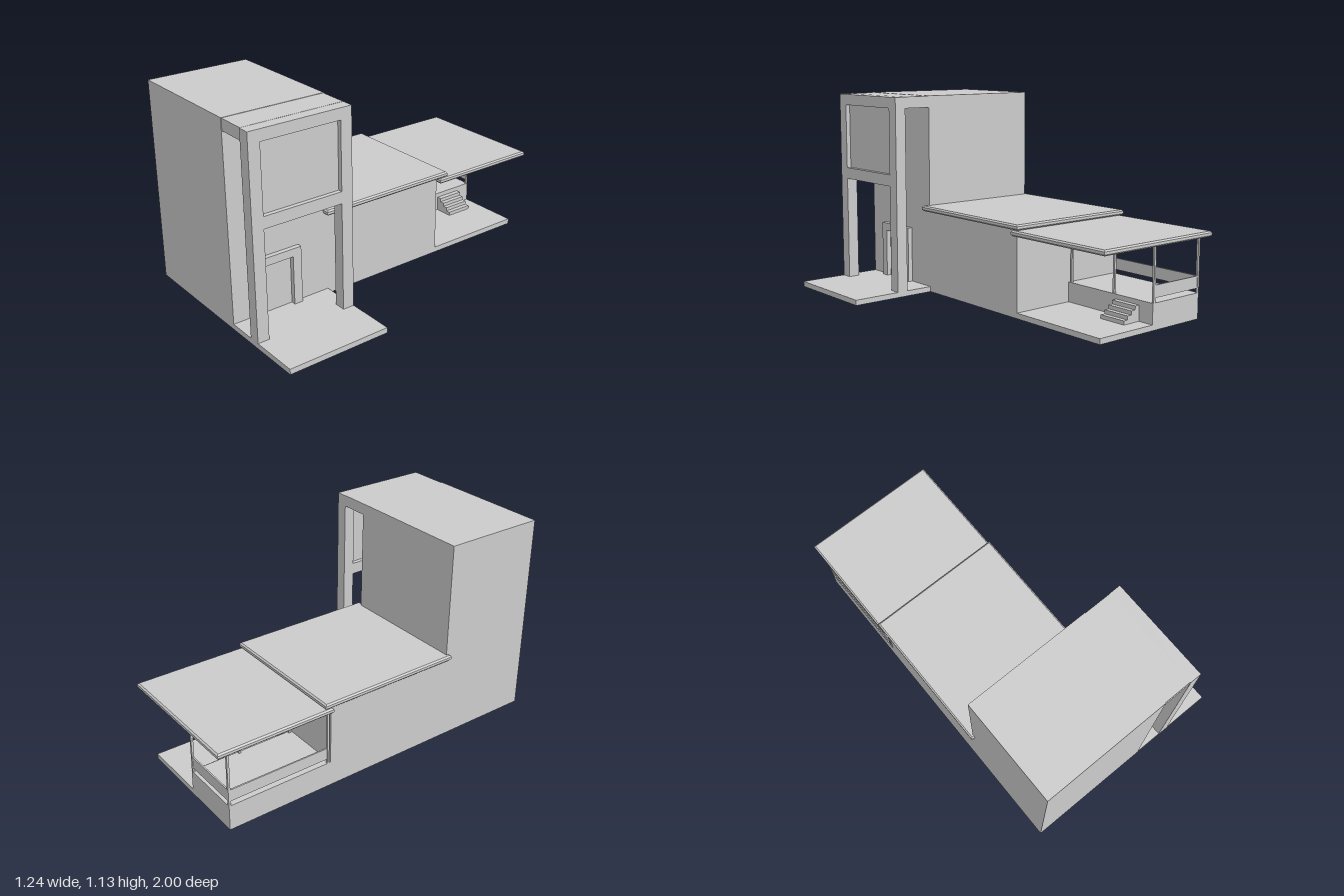
import * as THREE from 'three';

const material = new THREE.MeshStandardMaterial({ color: 0xcccccc, flatShading: true });

export function createModel() {
  const house = new THREE.Group();
  house.name = 'house';

  const add = (name, geometry) => {
    const mesh = new THREE.Mesh(geometry, material);
    mesh.name = name;
    house.add(mesh);
    return mesh;
  };

  // Box given by its limits on each axis
  const box = (name, x0, x1, y0, y1, z0, z1) =>
    add(name, new THREE.BoxGeometry(x1 - x0, y1 - y0, z1 - z0)
      .translate((x0 + x1) / 2, (y0 + y1) / 2, (z0 + z1) / 2));

  // Upright panel: outline in (z, y), thickness running from x0 to x1
  const panel = (name, outline, holes, x0, x1) => {
    const toPoints = (list) => list.map(([z, y]) => new THREE.Vector2(z, y));
    const shape = new THREE.Shape(toPoints(outline));
    holes.forEach((hole) => shape.holes.push(new THREE.Path(toPoints(hole))));
    const geometry = new THREE.ExtrudeGeometry(shape, { depth: x1 - x0, bevelEnabled: false });
    return add(name, geometry.rotateY(-Math.PI / 2).translate(x1, 0, 0));
  };

  // Doorway outline: two legs and a lintel, open at the foot
  const portal = (z0, z1, y0, y1, inZ0, inZ1, inTop) => [
    [z0, y0], [inZ0, y0], [inZ0, inTop], [inZ1, inTop],
    [inZ1, y0], [z1, y0], [z1, y1], [z0, y1],
  ];

  // Flat roof with chamfered edges
  const roof = (name, x0, x1, y0, y1, z0, z1) => {
    const b = 0.008;
    const shape = new THREE.Shape([
      new THREE.Vector2(x0 + b, -z1 + b), new THREE.Vector2(x1 - b, -z1 + b),
      new THREE.Vector2(x1 - b, -z0 - b), new THREE.Vector2(x0 + b, -z0 - b),
    ]);
    const geometry = new THREE.ExtrudeGeometry(shape, {
      depth: y1 - y0 - 2 * b, bevelEnabled: true, bevelSegments: 1, bevelSize: b, bevelThickness: b,
    });
    return add(name, geometry.rotateX(-Math.PI / 2).translate(0, y0 + b, 0));
  };

  // Main volumes
  box('tower', -0.6, 0.12, 0.01, 1.135, 0.42, 1);
  box('wing', -0.6, 0.12, 0.01, 0.485, -0.34, 0.42);
  roof('wingRoof', -0.62, 0.16, 0.483, 0.513, -0.385, 0.44);

  // Entrance terrace, canopy and open frame with a glazed upper bay
  box('terrace', 0.12, 0.62, 0.01, 0.04, 0.42, 1);
  box('canopy', 0.12, 0.28, 1.07, 1.133, 0.422, 0.997);
  panel('entranceFrame',
    portal(0.42, 1, 0.04, 1.132, 0.485, 0.935, 0.635),
    [[[0.485, 0.7], [0.485, 1.07], [0.935, 1.07], [0.935, 0.7]]],
    0.28, 0.345);
  box('windowPane', 0.305, 0.32, 0.7, 1.07, 0.485, 0.935);
  panel('doorFrame', portal(0.6, 0.87, 0, 0.36, 0.65, 0.825, 0.315), [], 0.1, 0.147);

  // Porch floor, raised deck and steps
  box('porchFloor', -0.6, 0.12, 0.01, 0.04, -0.94, -0.34);
  box('porchDeck', -0.6, -0.25, 0.04, 0.15, -0.94, -0.34);
  for (let i = 0; i < 4; i++) {
    box('step', -0.25, -0.14 - i * 0.027, 0.04 + i * 0.021, 0.061 + i * 0.021, -0.85, -0.69);
  }

  // Porch posts, railings and roof
  const post = (x, z) => box('porchPost', x - 0.006, x + 0.006, 0.15, 0.458, z - 0.006, z + 0.006);
  [-0.355, -0.667, -0.935].forEach((z) => post(-0.26, z));
  [-0.355, -0.935].forEach((z) => post(-0.594, z));
  box('sideRailing', -0.598, -0.59, 0.175, 0.24, -0.935, -0.355);
  box('backRailing', -0.594, -0.26, 0.175, 0.24, -0.939, -0.931);
  roof('porchRoof', -0.62, 0.16, 0.45, 0.48, -1, -0.335);

  return house;
}
